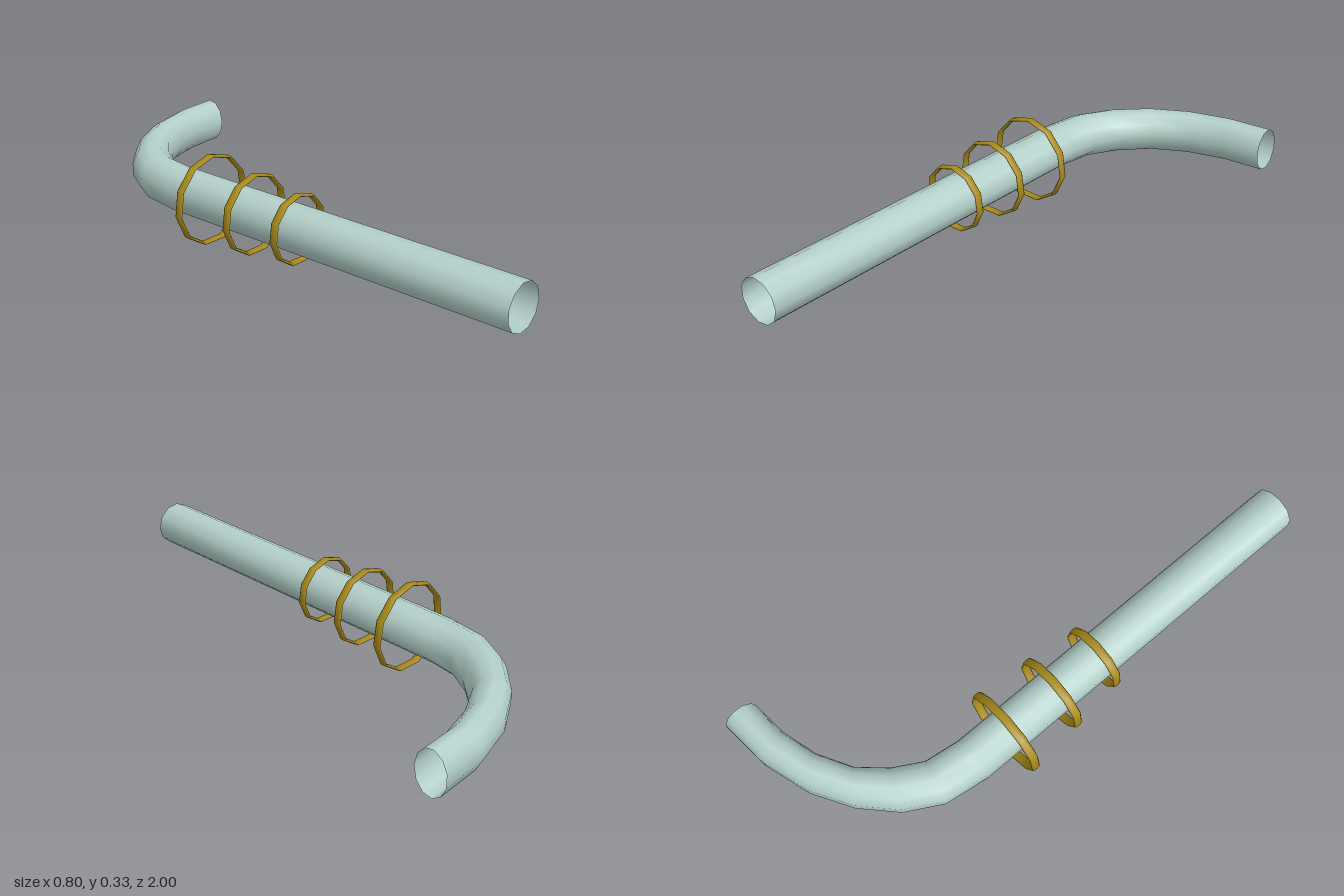
import * as THREE from 'three';

const SIDES = 11;
const AXIS_X = -0.235, AXIS_Y = 0.163, RADIUS = 0.083;

// Stations along the pipe: [outer x, outer z, inner x, inner z]
const STATIONS = [
  [-0.315, 1, -0.152, 1],
  [-0.315, -0.435, -0.153, -0.433],
  [-0.291, -0.6, -0.135, -0.563],
  [-0.218, -0.73, -0.077, -0.664],
  [-0.104, -0.84, 0.006, -0.757],
  [0.038, -0.926, 0.128, -0.826],
  [0.212, -0.981, 0.262, -0.865],
  [0.4, -1, 0.4, -0.878],
];

// Open pipe swept through the stations, slightly flattened around the bend
function pipeGeometry() {
  const positions = [], index = [];
  const low = Math.cos(Math.PI / SIDES);
  STATIONS.forEach(([ox, oz, ix, iz], i) => {
    for (let j = 0; j < SIDES; j++) {
      const a = (j / SIDES) * Math.PI * 2;
      const t = (Math.cos(a) + low) / (1 + low);
      positions.push(ox + (ix - ox) * t, AXIS_Y + RADIUS * Math.sin(a), oz + (iz - oz) * t);
      if (i < STATIONS.length - 1) {
        const p = i * SIDES + j, q = i * SIDES + ((j + 1) % SIDES);
        index.push(p, p + SIDES, q, q, p + SIDES, q + SIDES);
      }
    }
  });
  const geometry = new THREE.BufferGeometry();
  geometry.setAttribute('position', new THREE.Float32BufferAttribute(positions, 3));
  geometry.setIndex(index);
  geometry.computeVertexNormals();
  return geometry;
}

export function createModel() {
  const model = new THREE.Group();
  model.name = 'bentPipeWithRings';

  const pipeMaterial = new THREE.MeshStandardMaterial({ color: 0xb4d0ca, side: THREE.DoubleSide });
  const ringMaterial = new THREE.MeshStandardMaterial({ color: 0xa88a18 });

  const pipe = new THREE.Mesh(pipeGeometry(), pipeMaterial);
  pipe.name = 'pipe';
  model.add(pipe);

  // Three floating bands growing towards the bend: [z, outer radius]
  const tube = 0.0055, halfWidth = 0.0165;
  [[0.118, 0.127], [-0.08, 0.147], [-0.29, 0.167]].forEach(([z, outer], i) => {
    const geometry = new THREE.TorusGeometry(outer - tube, tube, 8, SIDES);
    geometry.rotateZ(Math.PI / 2);
    geometry.scale(1, 1, halfWidth / tube);
    const ring = new THREE.Mesh(geometry, ringMaterial);
    ring.name = `ring${i + 1}`;
    ring.position.set(AXIS_X, AXIS_Y, z);
    model.add(ring);
  });

  return model;
}
